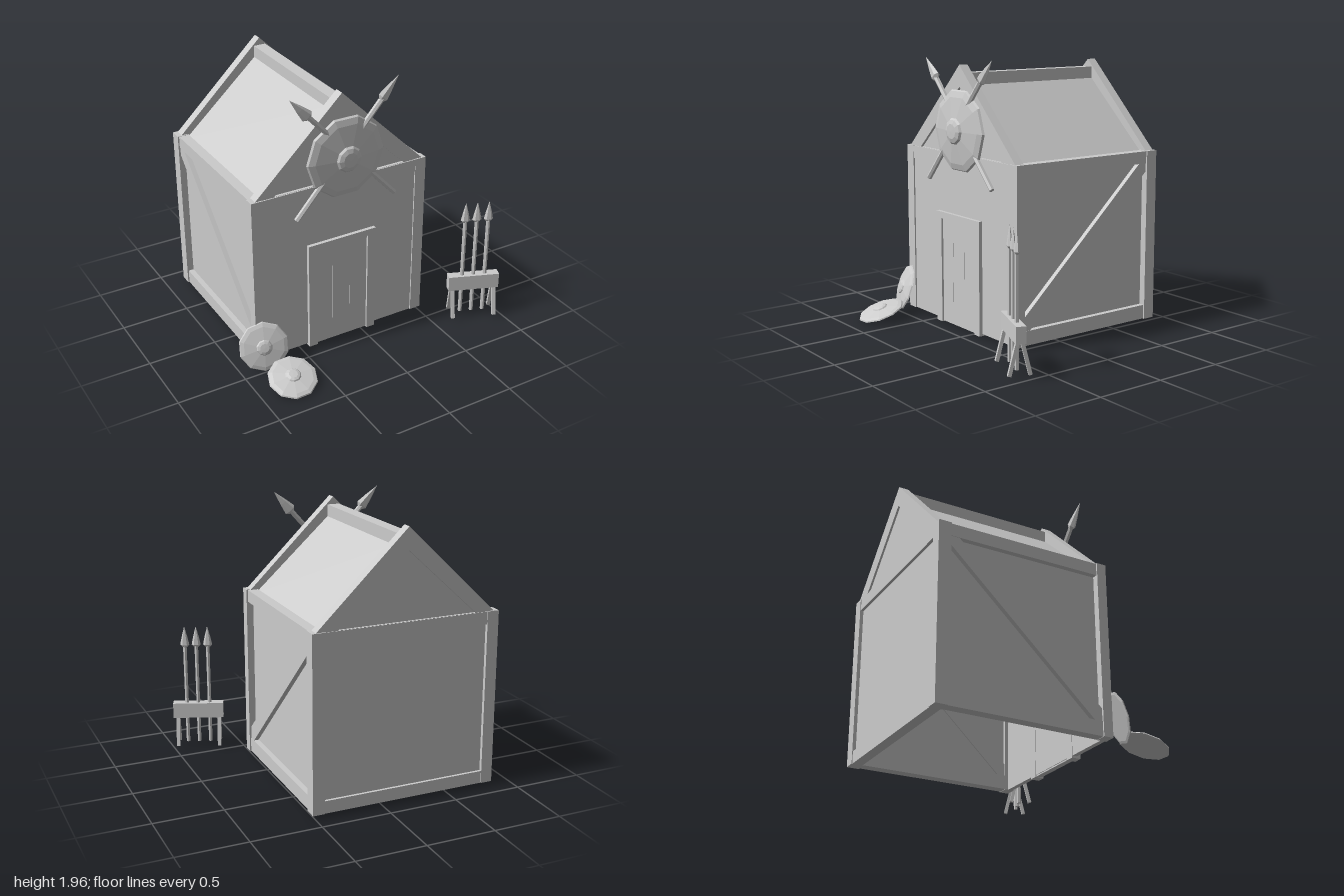
import * as THREE from 'three';

const mat = new THREE.MeshStandardMaterial({ color: 0xcccccc, flatShading: true, side: THREE.DoubleSide });

function add(parent, name, geo) {
  const m = new THREE.Mesh(geo, mat);
  m.name = name;
  parent.add(m);
  return m;
}

// Box given by its limits on each axis
function box(parent, name, x0, x1, y0, y1, z0, z1) {
  const m = add(parent, name, new THREE.BoxGeometry(x1 - x0, y1 - y0, z1 - z0));
  m.position.set((x0 + x1) / 2, (y0 + y1) / 2, (z0 + z1) / 2);
  return m;
}

const outline = (pts) => pts.map(([x, y]) => new THREE.Vector2(x, y));

function prism(parent, name, pts, depth, hole) {
  const shape = new THREE.Shape(outline(pts));
  if (hole) shape.holes.push(new THREE.Path(outline(hole)));
  return add(parent, name, new THREE.ExtrudeGeometry(shape, { depth, bevelEnabled: false }));
}

// Ten-sided domed shield with a raised boss, facing along normal
function shield(parent, name, r, pos, normal) {
  const profile = outline([[0, 0], [0.9, 0], [1, 0.02], [0.97, 0.07], [0.82, 0.12],
    [0.32, 0.19], [0.28, 0.24], [0.18, 0.275], [0, 0.28]]).map((p) => p.multiplyScalar(r));
  const m = add(parent, name, new THREE.LatheGeometry(profile, 10, Math.PI / 10));
  m.position.set(...pos);
  m.quaternion.setFromUnitVectors(new THREE.Vector3(0, 1, 0), new THREE.Vector3(...normal).normalize());
  return m;
}

// Upright spear with its foot at the origin, 0.915 tall
function spear(parent, name) {
  const g = new THREE.Group();
  g.name = name;
  const shaft = add(g, 'spearShaft', new THREE.CylinderGeometry(0.015, 0.015, 0.77, 6));
  shaft.position.y = 0.385;
  const head = add(g, 'spearHead', new THREE.LatheGeometry(
    outline([[0, 0.755], [0.018, 0.755], [0.034, 0.772], [0.022, 0.83], [0, 0.915]]), 6, Math.PI / 6));
  head.scale.z = 0.6;
  parent.add(g);
  return g;
}

function buildHouse(root) {
  const house = new THREE.Group();
  house.name = 'house';
  root.add(house);

  // Corner posts
  for (const [x0, x1] of [[-0.855, -0.77], [0.43, 0.515]])
    for (const [z0, z1] of [[0.32, 0.39], [-0.88, -0.79]])
      box(house, 'cornerPost', x0, x1, 0.03, 1.285, z0, z1);

  // Front and back walls
  box(house, 'frontWall', -0.775, 0.435, 0.03, 1.2, 0.345, 0.38);
  box(house, 'frontTopBeam', -0.775, 0.435, 1.19, 1.283, 0.32, 0.388);
  box(house, 'backWall', -0.775, 0.435, 0.04, 1.2, -0.855, -0.83);
  box(house, 'backTopBeam', -0.775, 0.435, 1.195, 1.283, -0.875, -0.8);
  box(house, 'backBottomBeam', -0.775, 0.435, 0.03, 0.12, -0.875, -0.8);

  // Side walls with beams and a diagonal brace
  const brace = [[-0.32, 0.13], [-0.27, 0.13], [0.795, 1.14], [0.795, 1.2], [0.73, 1.2], [-0.32, 0.225]];
  for (const s of [-1, 1]) {
    const xOut = s > 0 ? 0.505 : -0.845;
    const span = (a, b) => [Math.min(xOut - s * a, xOut - s * b), Math.max(xOut - s * a, xOut - s * b)];
    box(house, 'sideWall', ...span(0.04, 0.055), 0.04, 1.28, -0.8, 0.33);
    box(house, 'sideTopBeam', ...span(0, 0.075), 1.195, 1.283, -0.8, 0.33);
    box(house, 'sideBottomBeam', ...span(0, 0.075), 0.032, 0.135, -0.8, 0.33);
    const b = prism(house, 'diagonalBrace', brace, 0.06);
    b.rotation.y = Math.PI / 2;
    b.position.x = span(0.004, 0.064)[0];
  }

  // Gable frames with recessed panels
  const outer = [[-0.825, 1.28], [0.49, 1.28], [-0.165, 1.915]];
  const inner = [[-0.68, 1.285], [-0.165, 1.76], [0.335, 1.285]];
  for (const [z, panel] of [[0.31, 0.34], [-0.87, -0.855]]) {
    prism(house, 'gableFrame', outer, 0.07, inner).position.z = z;
    prism(house, 'gablePanel', [[-0.72, 1.27], [0.375, 1.27], [-0.165, 1.8]], 0.02).position.z = panel;
  }

  // Roof slopes and ridge beam
  prism(house, 'roof', [[-0.79, 1.245], [-0.735, 1.245], [-0.165, 1.765], [0.405, 1.245],
    [0.46, 1.245], [-0.165, 1.815]], 1.14).position.z = -0.82;
  box(house, 'ridgeBeam', -0.21, -0.12, 1.74, 1.86, -0.82, 0.33);

  // Door with frame and plank grooves
  prism(house, 'doorFrame', [[-0.44, 0.015], [-0.375, 0.015], [-0.375, 0.795], [0.035, 0.795],
    [0.035, 0.015], [0.1, 0.015], [0.1, 0.843], [-0.44, 0.843]], 0.065).position.z = 0.342;
  box(house, 'door', -0.38, 0.04, 0.02, 0.8, 0.35, 0.392);
  for (const x of [-0.245, -0.1]) box(house, 'doorGroove', x - 0.002, x + 0.002, 0.19, 0.63, 0.38, 0.394);
}

// Crossed spears behind a large shield on the gable
function buildEmblem(root) {
  const g = new THREE.Group();
  g.name = 'gableDisplay';
  root.add(g);
  shield(g, 'gableShield', 0.3, [-0.145, 1.455, 0.386], [0, 0, 1]);
  for (const [foot, tip, z] of [[[-0.53, 1.075], [0.257, 1.962], 0.405], [[0.247, 1.085], [-0.567, 1.957], 0.4]]) {
    const s = spear(g, 'crossedSpear');
    s.scale.setScalar(1.3);
    s.position.set(foot[0], foot[1], z);
    s.rotation.z = -Math.atan2(tip[0] - foot[0], tip[1] - foot[1]);
  }
}

// Trestle holding three upright spears
function buildRack(root) {
  const rack = new THREE.Group();
  rack.name = 'spearRack';
  rack.position.set(0.808, 0, 0.64);
  rack.rotation.y = -0.375;
  root.add(rack);
  box(rack, 'rackBar', -0.188, 0.188, 0.245, 0.36, -0.033, 0.033);
  for (const x of [-0.085, 0, 0.085]) spear(rack, 'rackSpear').position.set(x, 0.045, 0);
  for (const x of [-0.155, 0.155])
    for (const s of [-1, 1]) {
      const leg = add(rack, 'rackLeg', new THREE.BoxGeometry(0.026, 0.235, 0.024));
      leg.position.set(x, 0.145, s * 0.042);
      leg.rotation.x = -s * 0.24;
    }
}

export function createModel() {
  const root = new THREE.Group();
  root.name = 'armoury';
  buildHouse(root);
  buildEmblem(root);
  buildRack(root);
  // Shields on the ground beside the front corner
  shield(root, 'leaningShield', 0.178, [-0.825, 0.185, 0.445], [-0.3, 0.33, 0.95]);
  shield(root, 'lyingShield', 0.175, [-0.745, 0.06, 0.71], [-0.05, 0.94, 0.33]);
  return root;
}
